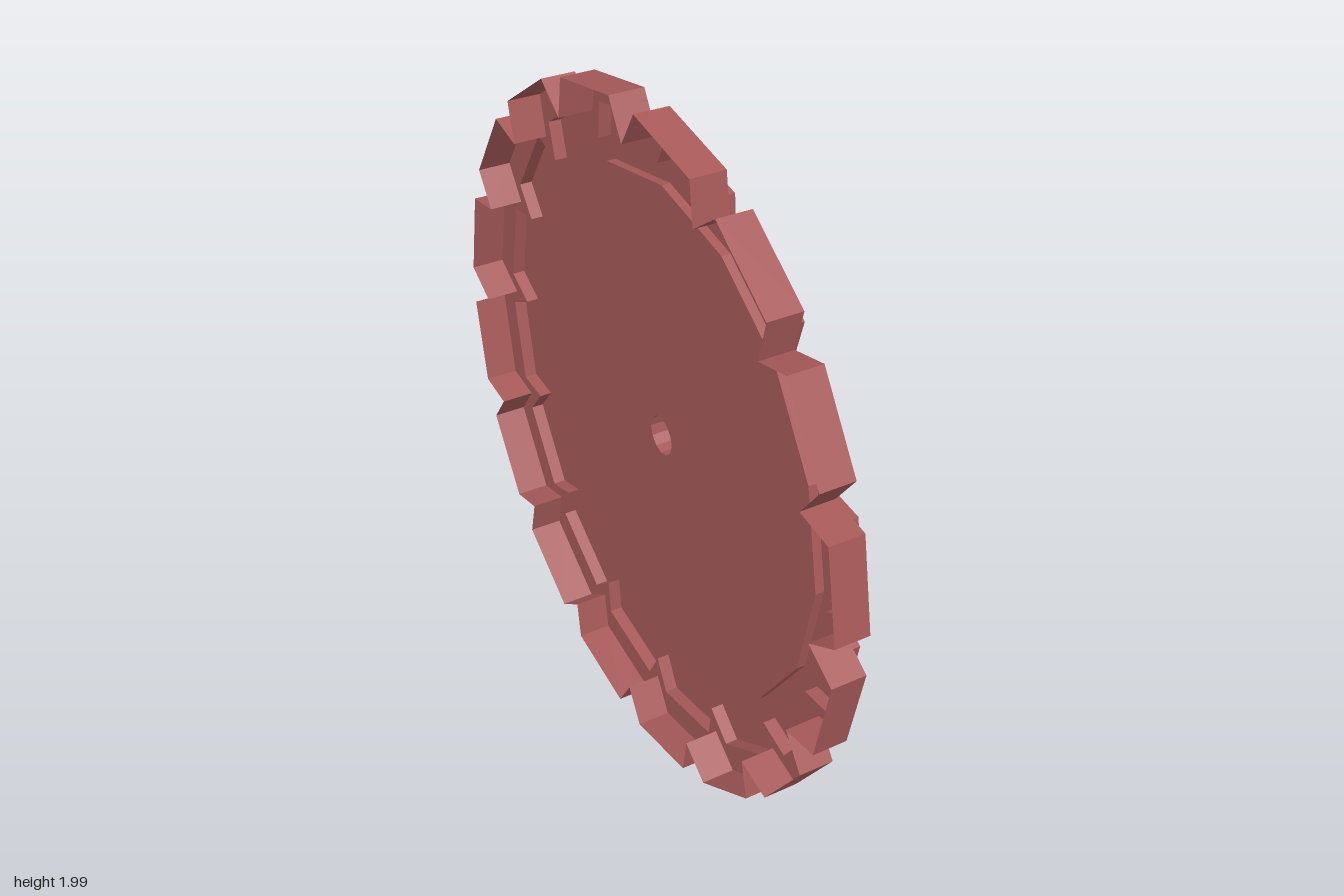
import * as THREE from 'three';

const RED = new THREE.MeshStandardMaterial({ color: 0xa85a5a, flatShading: true, side: THREE.DoubleSide });
const BRASS = new THREE.MeshStandardMaterial({ color: 0xa68462, flatShading: true });
const TEETH = 16;
const STEP = (Math.PI * 2) / TEETH;

// Depths: back edge of the skirt, step, dial plate, front of the rim
const BACK = -0.11, LEDGE = -0.012, PLATE = 0, FRONT = 0.025;

const polar = (r, a) => new THREE.Vector2(-r * Math.sin(a), r * Math.cos(a));
const polygon = (r, n) => Array.from({ length: n }, (_, i) => polar(r, (i / n) * Math.PI * 2));

function toothed(tip, notch, gap) {
  const pts = [];
  for (let i = 0; i < TEETH; i++) {
    const a = i * STEP;
    pts.push(polar(notch, a), polar(tip, a + gap), polar(tip, a + STEP - gap));
  }
  return pts;
}

function redMesh(name, geometry) {
  const mesh = new THREE.Mesh(geometry, RED);
  mesh.name = name;
  return mesh;
}

// Flat sheet between an outline and a hole
function sheet(name, outline, hole, z) {
  const shape = new THREE.Shape(outline);
  shape.holes.push(new THREE.Path([...hole].reverse()));
  return redMesh(name, new THREE.ShapeGeometry(shape).translate(0, 0, z));
}

// Upright wall that follows a closed outline
function wall(name, outline, z0, z1) {
  const n = outline.length;
  const geo = new THREE.PlaneGeometry(1, 1, n, 1);
  const pos = geo.attributes.position;
  for (let i = 0; i < pos.count; i++) {
    const p = outline[(i % (n + 1)) % n];
    pos.setXYZ(i, p.x, p.y, i > n ? z0 : z1);
  }
  geo.computeVertexNormals();
  return redMesh(name, geo);
}

// Numeral strokes: slanted bars from bottom x to top x, relative to the glyph's left edge
const BAR = 0.04, HALF = 0.127;
const GLYPHS = {
  I: { width: 0.04, strokes: [[0, 0]] },
  V: { width: 0.16, strokes: [[0.052, 0], [0.068, 0.12]] },
  X: { width: 0.118, strokes: [[0.078, 0], [0, 0.078]] },
};

function numeral(text, offset) {
  const group = new THREE.Group();
  const gap = 0.012;
  const width = [...text].reduce((w, c) => w + GLYPHS[c].width + gap, -gap);
  let x = offset - width / 2;
  for (const c of text) {
    GLYPHS[c].strokes.forEach(([bottom, top], i) => {
      const shape = new THREE.Shape([
        new THREE.Vector2(x + bottom, -HALF), new THREE.Vector2(x + bottom + BAR, -HALF),
        new THREE.Vector2(x + top + BAR, HALF), new THREE.Vector2(x + top, HALF),
      ]);
      // a hair of height difference keeps crossing strokes from flickering
      const depth = 0.023 + i * 0.0005;
      const geo = new THREE.ExtrudeGeometry(shape, { depth, bevelEnabled: false });
      const stroke = new THREE.Mesh(geo.translate(0, 0.597, PLATE + 0.001), BRASS);
      stroke.name = 'numeralStroke';
      group.add(stroke);
    });
    x += GLYPHS[c].width + gap;
  }
  return group;
}

export function createModel() {
  const model = new THREE.Group();
  model.name = 'clockFace';

  // Dial is built facing +z, then turned to face +x
  const dial = new THREE.Group();
  dial.name = 'dial';
  dial.rotation.y = Math.PI / 2;
  dial.position.y = 0.993;
  model.add(dial);

  // Rim: hollow stepped shell, open at the back
  const outer = toothed(0.996, 0.892, 0.062);
  const inner = toothed(0.916, 0.82, 0.056);
  const bore = polygon(0.757, TEETH);
  const hubHole = polygon(0.0575, 12);
  dial.add(
    wall('outerSkirt', outer, BACK, LEDGE),
    sheet('rimLedge', outer, inner, LEDGE),
    wall('innerSkirt', inner, LEDGE, FRONT),
    sheet('rimFace', inner, bore, FRONT),
    wall('rimBore', bore, PLATE, FRONT),
    sheet('plate', bore, hubHole, PLATE),
  );

  // Hub: hollow shaft and knob
  const profile = [[0.0575, PLATE], [0.0575, 0.055], [0.087, 0.055], [0.087, 0.11], [0, 0.11]];
  const hub = new THREE.LatheGeometry(profile.map(([r, z]) => new THREE.Vector2(r, z)), 12);
  dial.add(redMesh('hub', hub.rotateX(Math.PI / 2)));

  // Hour numerals with their sideways offsets
  const hours = [
    ['XII', 0.005], ['I', -0.015], ['II', -0.043], ['III', -0.053],
    ['IIII', -0.01], ['V', -0.045], ['VI', -0.085], ['VII', -0.045],
    ['VIII', 0.01], ['IX', 0.055], ['X', -0.01], ['XI', -0.01],
  ];
  hours.forEach(([text, offset], h) => {
    const mark = numeral(text, offset);
    mark.name = `hourMark${h || 12}`;
    mark.rotation.z = (-h * Math.PI) / 6;
    dial.add(mark);
  });

  return model;
}
